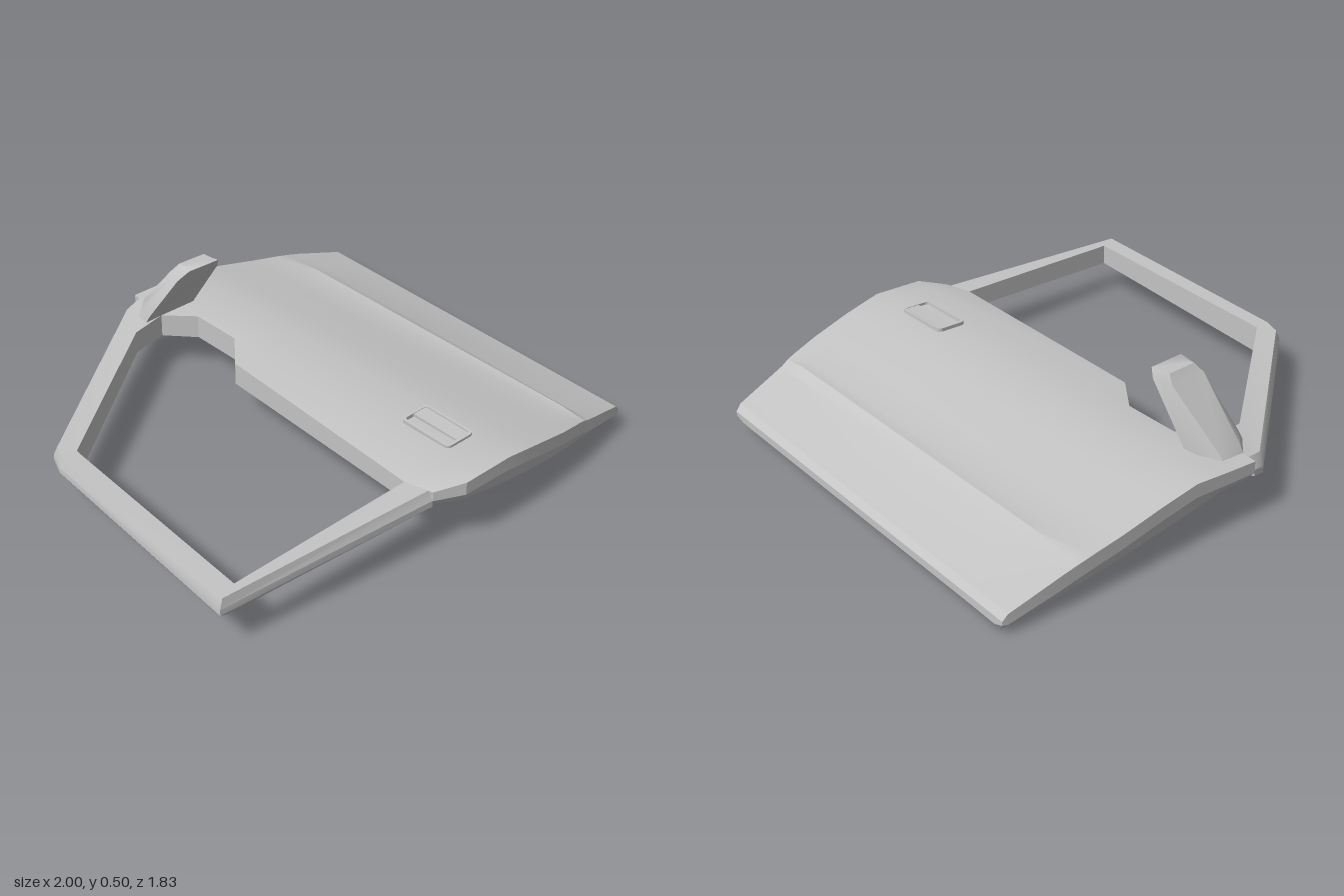
import * as THREE from 'three';
import { toCreasedNormals } from 'three/addons/utils/BufferGeometryUtils.js';

// The whole door tilts slightly: heights fall towards the back
const drop = (z) => 0.017 * (0.9 - z);

// Solid from a row of even-sided rings, capped at both ends, wound outwards
function loft(rings, crease = 0.45) {
  const n = rings[0].length;
  const tris = [];
  const quad = (a, b, c, d) => tris.push([a, b, c], [a, c, d]);
  for (let i = 0; i < rings.length - 1; i++) {
    for (let k = 0; k < n; k++) {
      const m = (k + 1) % n;
      quad(rings[i][k], rings[i][m], rings[i + 1][m], rings[i + 1][k]);
    }
  }
  const cap = (r, flip) => {
    for (let k = 0; k < n / 2; k++) {
      const q = [r[k], r[k + 1], r[n - k - 1], r[(n - k) % n]];
      if (flip) q.reverse();
      quad(...q);
    }
  };
  cap(rings[0], true);
  cap(rings[rings.length - 1], false);
  const solid = tris.filter(([a, b, c]) => a !== b && b !== c && a !== c);
  const volume = solid.reduce((s, [a, b, c]) => s + a.dot(b.clone().cross(c)), 0);
  if (volume < 0) solid.forEach((t) => t.reverse());
  const g = new THREE.BufferGeometry().setFromPoints(solid.flat());
  g.computeVertexNormals();
  return toCreasedNormals(g, crease);
}

const V = (x, y, z) => new THREE.Vector3(x, y, z);

function panelGeometry() {
  // Edge of the panel along the window, from back to front
  const edge = [[-0.08, -0.915], [-0.1, -0.71], [0, -0.6], [0, -0.37],
    [-0.11, -0.23], [-0.15, 0.74], [-0.12, 0.85]];
  const edgeTop = [0.268, 0.268, 0.272, 0.272, 0.266, 0.25, 0.25];
  const last = edge.length - 1;
  // Columns across the panel: xBack, xFront, zBack, zFront, top, bottom, ridge
  const columns = [
    [0.04, -0.02, -0.91, 0.91, 0.275, 0.175, 0],
    [0.19, 0.19, -0.902, 0.91, 0.285, 0.143, 0],
    [0.35, 0.35, -0.896, 0.895, 0.257, 0.119, 0],
    [0.52, 0.52, -0.89, 0.873, 0.222, 0.093, 0],
    [0.65, 0.63, -0.883, 0.85, 0.199, 0.075, 0],
    [0.70, 0.67, -0.88, 0.841, 0.189, 0.068, 0.012],
    [0.765, 0.705, -0.875, 0.833, 0.174, 0.06, 0],
    [0.98, 0.925, -0.855, 0.787, 0.115, 0.032, 0],
    [1.0, 0.95, -0.85, 0.78, 0.092, 0.062, 0],
  ];
  const section = (top, bottom) => {
    const mid = (i) => {
      const p = top[i].clone();
      p.y -= Math.min(0.055, (top[i].y - bottom[i].y) * 0.5);
      return p;
    };
    return [mid(0), ...top, mid(last), ...bottom.slice().reverse()];
  };
  const inset = (i) => (i === 0 ? 0.04 : i === last ? -0.04 : 0);
  const rings = [section(
    edge.map(([x, z], i) => V(x, edgeTop[i] - drop(z), z)),
    edge.map(([x, z], i) => V(x, 0.175 - drop(z), z + inset(i))))];
  for (const [xb, xf, zb, zf, yTop, yBottom, ridge] of columns) {
    const top = [], bottom = [];
    edge.forEach(([, ez], i) => {
      const f = (ez - edge[0][1]) / (edge[last][1] - edge[0][1]);
      const x = xb + (xf - xb) * f, z = zb + (zf - zb) * f;
      const lift = i > 0 && i < last ? ridge : 0;
      top.push(V(x, yTop + lift - drop(z), z));
      bottom.push(V(x, yBottom - drop(z), z + inset(i)));
    });
    rings.push(section(top, bottom));
  }
  return loft(rings, 0.3);
}

function frameGeometry() {
  // Outer x, z, inner x, z, top height, thickness
  const stations = [
    [-0.08, -0.915, -0.1, -0.71, 0.268, 0.1],
    [-0.14, -0.90, -0.24, -0.69, 0.252, 0.1],
    [-0.91, -0.28, -0.862, -0.2, 0.222, 0.12],
    [-0.94, -0.2, -0.864, -0.185, 0.222, 0.12],
    [-1.0, 0.79, -0.91, 0.75, 0.218, 0.09],
    [-0.12, 0.85, -0.15, 0.74, 0.25, 0.085],
  ];
  return loft(stations.map(([ox, oz, ix, iz, y, t]) => {
    const at = (f, d) => {
      const z = oz + (iz - oz) * f;
      return V(ox + (ix - ox) * f, y - d - drop(z), z);
    };
    return [at(0, 0.035), at(0.17, 0), at(1, 0), at(1, t * 0.92), at(0.5, t), at(0, 0.06)];
  }));
}

function mirrorGeometry() {
  // Height, front z, back z, front left/right x, back left/right x
  const levels = [
    [0.22, -0.72, -0.86, -0.175, 0.055, -0.09, 0.005],
    [0.26, -0.70, -0.835, -0.168, 0.06, -0.09, 0.012],
    [0.47, -0.558, -0.64, -0.125, 0.072, -0.095, 0.058],
    [0.505, -0.54, -0.615, -0.08, 0.062, -0.07, 0.05],
  ];
  return loft(levels.map(([y, zf, zb, fl, fr, bl, br]) => {
    const zs = zf + (zb - zf) * 0.45;
    return [V(fl, y, zf), V(fr, y, zf), V(fr - 0.008, y, zs),
      V(br, y, zb), V(bl, y, zb), V(fl + 0.01, y, zs)];
  }), 0.7);
}

// Rounded rectangle outline centred on the origin
function roundedRect(Type, w, h, r) {
  const s = new Type();
  s.absarc(w / 2 - r, h / 2 - r, r, 0, Math.PI / 2);
  s.absarc(-w / 2 + r, h / 2 - r, r, Math.PI / 2, Math.PI);
  s.absarc(-w / 2 + r, -h / 2 + r, r, Math.PI, Math.PI * 1.5);
  s.absarc(w / 2 - r, -h / 2 + r, r, Math.PI * 1.5, Math.PI * 2);
  s.closePath();
  return s;
}

export function createModel() {
  const group = new THREE.Group();
  group.name = 'carDoor';
  const paint = new THREE.MeshStandardMaterial({ color: 0xc4c4c4 });
  paint.name = 'greyPaint';
  const add = (name, geometry, parent = group) => {
    const mesh = new THREE.Mesh(geometry, paint);
    mesh.name = name;
    parent.add(mesh);
    return mesh;
  };

  add('doorPanel', panelGeometry());
  add('windowFrame', frameGeometry());
  add('wingMirror', mirrorGeometry());

  // Handle: rounded surround with a grip bar across the recess
  const handle = new THREE.Group();
  handle.name = 'handle';
  handle.position.set(0.135, 0.268, 0.61);
  handle.rotation.z = 0.05;
  group.add(handle);
  const rim = roundedRect(THREE.Shape, 0.13, 0.24, 0.02);
  rim.holes.push(roundedRect(THREE.Path, 0.108, 0.218, 0.014));
  const rimGeometry = new THREE.ExtrudeGeometry(rim, { depth: 0.021, bevelEnabled: false, curveSegments: 4 });
  add('handleSurround', rimGeometry.rotateX(-Math.PI / 2), handle);
  const grip = add('handleGrip', new THREE.BoxGeometry(0.06, 0.02, 0.22), handle);
  grip.position.set(0.02, 0.009, 0);

  return group;
}
